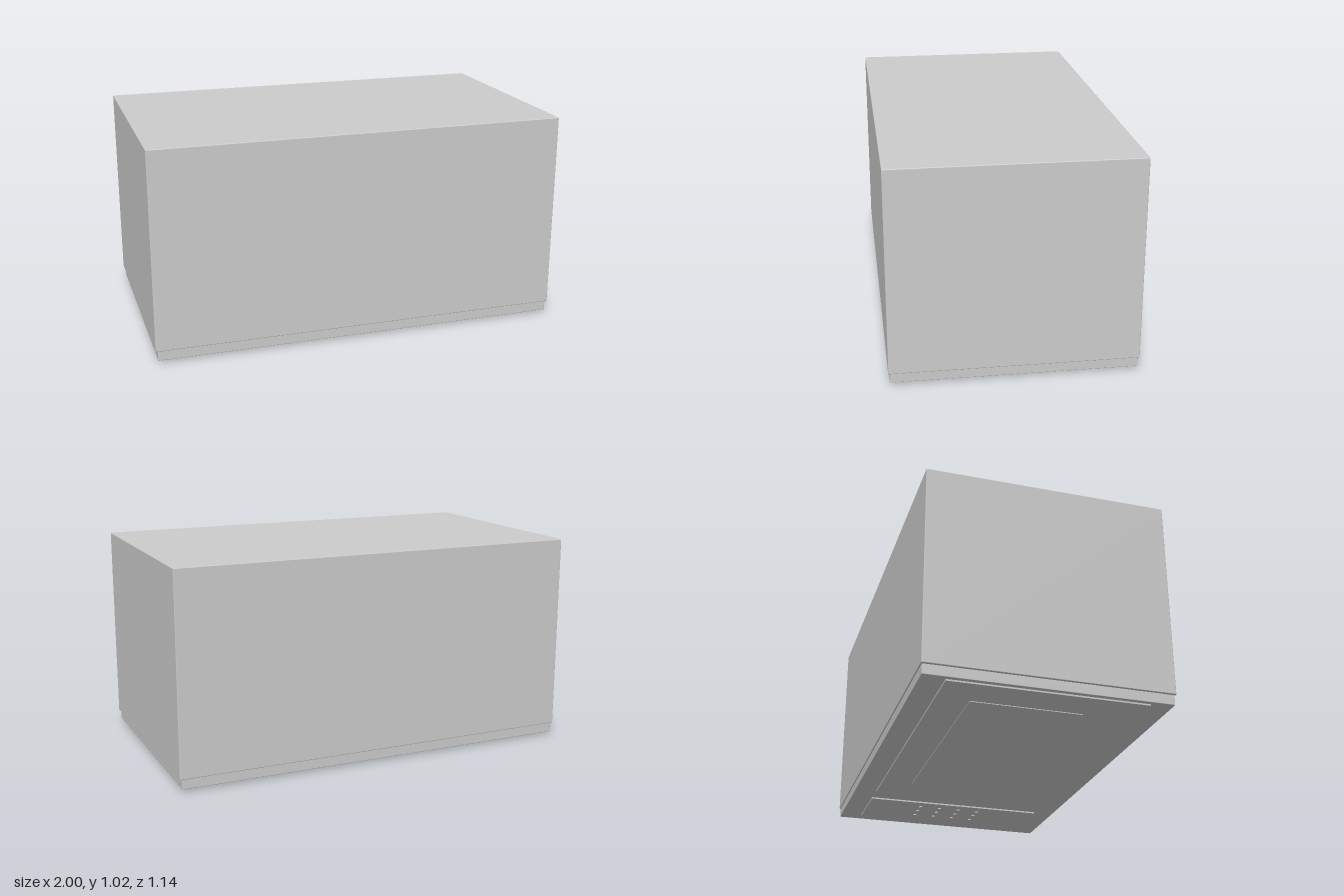
import * as THREE from 'three';
import { RoundedBoxGeometry } from 'three/addons/geometries/RoundedBoxGeometry.js';

export function createModel() {
  const model = new THREE.Group();
  model.name = 'microwaveOven';
  const material = new THREE.MeshStandardMaterial({ color: 0xcccccc });

  // Softly edged box between two values on each axis
  function slab(name, [x0, x1], [y0, y1], [z0, z1], radius) {
    const geometry = new RoundedBoxGeometry(x1 - x0, y1 - y0, z1 - z0, 2, radius);
    const mesh = new THREE.Mesh(geometry, material);
    mesh.name = name;
    mesh.position.set((x0 + x1) / 2, (y0 + y1) / 2, (z0 + z1) / 2);
    model.add(mesh);
  }

  // Oven lying on its face: casing above, front frame below
  slab('casing', [-1, 1], [0.062, 1.023], [-0.572, 0.572], 0.004);
  slab('frontFrame', [-0.99, 0.99], [0.014, 0.064], [-0.567, 0.567], 0.003);

  // Door with raised window, and the control panel beside it
  slab('door', [-0.97, 0.49], [0.006, 0.017], [-0.46, 0.46], 0.001);
  slab('doorWindow', [-0.8, 0.3], [0.002, 0.009], [-0.31, 0.21], 0.001);
  slab('controlPanel', [0.6, 0.92], [0.006, 0.017], [-0.46, 0.46], 0.001);

  // Keypad: three columns of four round buttons
  const keypad = new THREE.Group();
  keypad.name = 'keypad';
  const buttonGeometry = new THREE.CylinderGeometry(0.009, 0.009, 0.008, 16);
  for (let row = 0; row < 4; row++) {
    for (let column = 0; column < 3; column++) {
      const button = new THREE.Mesh(buttonGeometry, material);
      button.name = 'button';
      button.position.set(0.66 + column * 0.071, 0.004, -0.177 + row * 0.106);
      keypad.add(button);
    }
  }
  model.add(keypad);
  return model;
}
